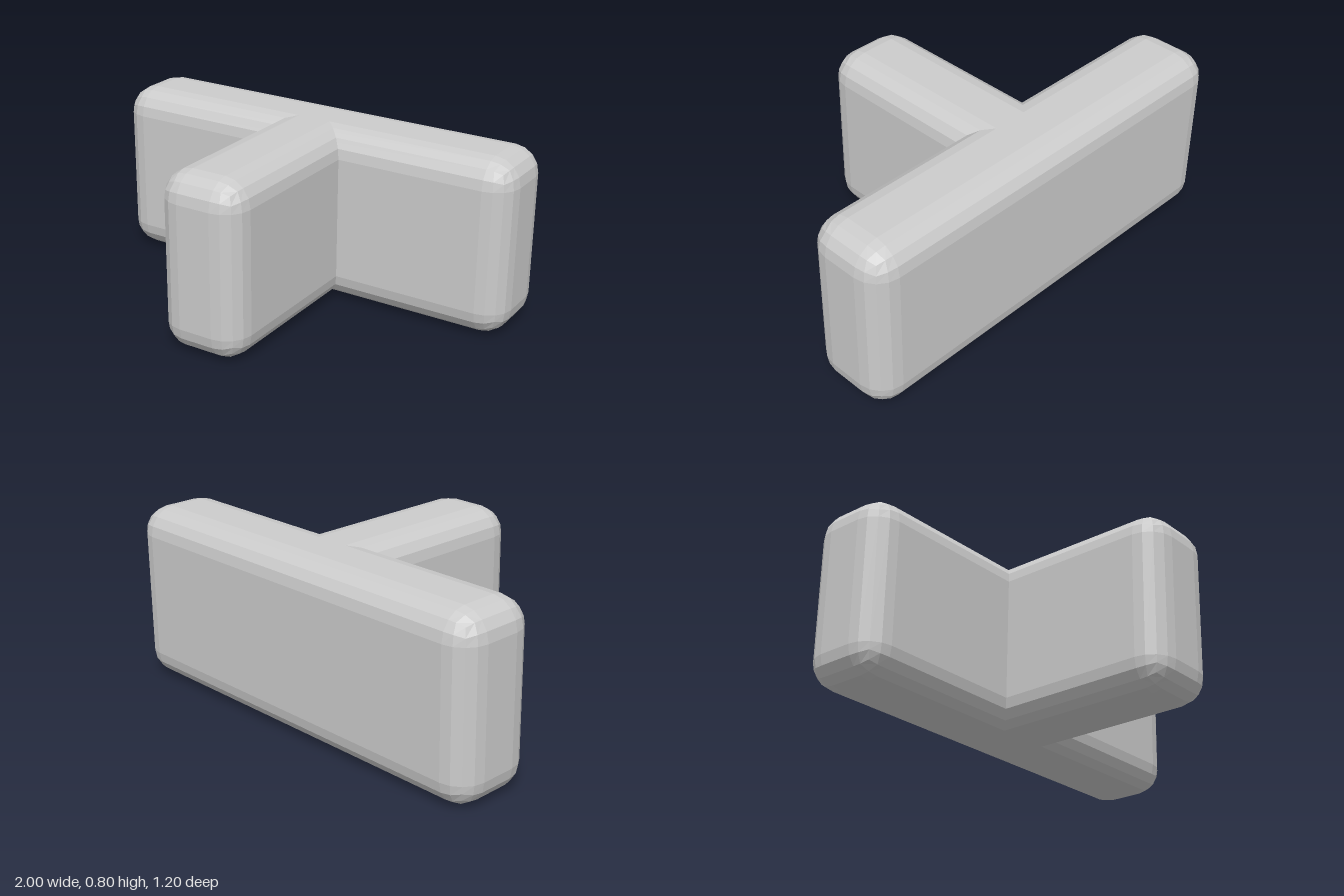
import * as THREE from 'three';

const RADIUS = 0.12;

// Box whose edges are rounded by four equal facets and whose flat sides stay flat.
function roundedBlock(width, height, depth) {
  const geometry = new THREE.BoxGeometry(1, 1, 1, 5, 5, 5);
  const position = geometry.attributes.position;
  const half = new THREE.Vector3(width, height, depth).multiplyScalar(0.5);
  const p = new THREE.Vector3();
  const n = new THREE.Vector3();

  // Grid lines at 0.1, 0.3 and 0.5 become angles of 0, 22.5 and 45 degrees.
  const slope = (v) => Math.sign(v) * Math.tan((Math.round(Math.abs(v) * 5 - 0.5) * Math.PI) / 8);

  for (let i = 0; i < position.count; i++) {
    p.fromBufferAttribute(position, i);
    n.set(slope(p.x), slope(p.y), slope(p.z)).normalize();
    const move = (axis) => Math.sign(p[axis]) * (half[axis] - RADIUS) + n[axis] * RADIUS;
    position.setXYZ(i, move('x'), move('y'), move('z'));
  }
  geometry.computeVertexNormals();
  return geometry;
}

export function createModel() {
  const group = new THREE.Group();
  group.name = 'teeBlock';
  const material = new THREE.MeshStandardMaterial({ color: 0xcccccc, flatShading: true });

  // Adds a rounded block standing on the floor between two depths.
  const addBlock = (name, width, back, front) => {
    const mesh = new THREE.Mesh(roundedBlock(width, 0.8, front - back), material);
    mesh.name = name;
    mesh.position.set(0, 0.4, (back + front) / 2);
    group.add(mesh);
  };

  // Long bar across the back
  addBlock('crossBar', 2, -0.6, -0.2);
  // Stem running forward, its rear end buried inside the bar
  addBlock('stem', 0.4, -0.46, 0.6);

  return group;
}
